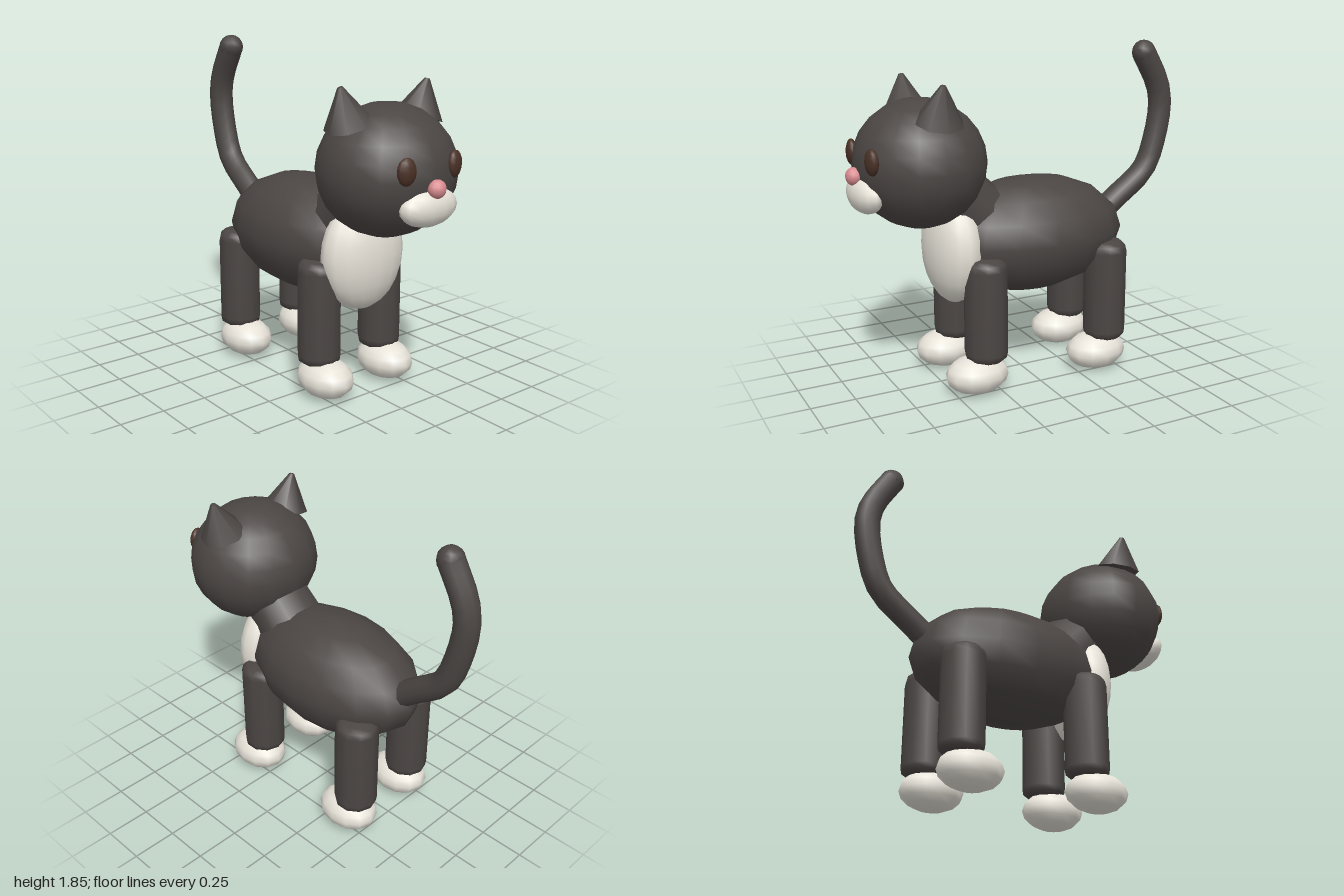
import * as THREE from 'three';

const mat = (color, side = THREE.FrontSide) => new THREE.MeshStandardMaterial({ color, side });

export function createModel() {
  const cat = new THREE.Group();
  cat.name = 'cat';
  const fur = mat(0x4b4644);
  const white = mat(0xe6e2d8);
  const brown = mat(0x4a3126);
  const pink = mat(0xd98c90);

  const add = (name, geometry, material, x, y, z) => {
    const mesh = new THREE.Mesh(geometry, material);
    mesh.name = name;
    mesh.position.set(x, y, z);
    cat.add(mesh);
    return mesh;
  };
  // Low-poly ellipsoid with the radii baked in
  const ellipsoid = (rx, ry, rz, w = 16, h = 10) =>
    new THREE.SphereGeometry(1, w, h).scale(rx, ry, rz);

  // Torso, chest bib and neck
  add('body', ellipsoid(0.35, 0.325, 0.57, 16, 8), fur, 0, 0.805, -0.06);
  add('chest', ellipsoid(0.26, 0.31, 0.15, 16, 12), white, 0, 0.78, 0.42);
  const neck = add('neck', new THREE.CylinderGeometry(0.18, 0.2, 0.34, 10), fur, 0, 1.07, 0.41);
  neck.rotation.x = Math.PI / 4;

  // Head and face
  add('head', ellipsoid(0.375, 0.345, 0.355, 16, 12), fur, 0, 1.265, 0.595);
  add('muzzle', ellipsoid(0.18, 0.1, 0.085, 14, 10), white, 0, 1.13, 0.9);
  add('nose', ellipsoid(0.05, 0.048, 0.044, 12, 8), pink, 0, 1.228, 0.956);

  // Leg profile with softened ends
  const legProfile = [[0, 0.18], [0.09, 0.18], [0.115, 0.2], [0.12, 0.23], [0.12, 0.7], [0.112, 0.735], [0.085, 0.757], [0, 0.76]]
    .map(([r, y]) => new THREE.Vector2(r, y));
  const legGeometry = new THREE.LatheGeometry(legProfile, 10);
  const pawGeometry = ellipsoid(0.14, 0.107, 0.18, 12, 8);

  for (const [side, s] of [['left', 1], ['right', -1]]) {
    const eye = add(side + 'Eye', ellipsoid(0.053, 0.07, 0.03, 12, 8), brown, s * 0.16, 1.325, 0.912);
    eye.rotation.y = s * 0.2;
    const ear = add(side + 'Ear', new THREE.CylinderGeometry(0.014, 0.13, 0.2, 8), fur, s * 0.235, 1.6, 0.575);
    ear.geometry.translate(0, 0.005, 0);
    ear.position.x = s * 0.26;
    ear.rotation.z = -s * 0.3;
    for (const [end, legZ, pawZ] of [['Front', 0.32, 0.375], ['Hind', -0.435, -0.382]]) {
      add(side + end + 'Leg', legGeometry, fur, s * 0.215, 0, legZ);
      add(side + end + 'Paw', pawGeometry, white, s * 0.215, 0.107, pawZ);
    }
  }

  // Upright curved tail with a rounded tip
  const tailCurve = new THREE.CatmullRomCurve3(
    [[0.86, -0.53], [0.95, -0.65], [1.09, -0.825], [1.25, -0.892], [1.48, -0.93], [1.6, -0.905], [1.78, -0.805]]
      .map(([y, z]) => new THREE.Vector3(0, y, z)));
  add('tail', new THREE.TubeGeometry(tailCurve, 14, 0.07, 10), mat(0x4b4644, THREE.DoubleSide), 0, 0, 0);
  add('tailTip', ellipsoid(0.071, 0.071, 0.071, 10, 8), fur, 0, 1.78, -0.805);

  return cat;
}
